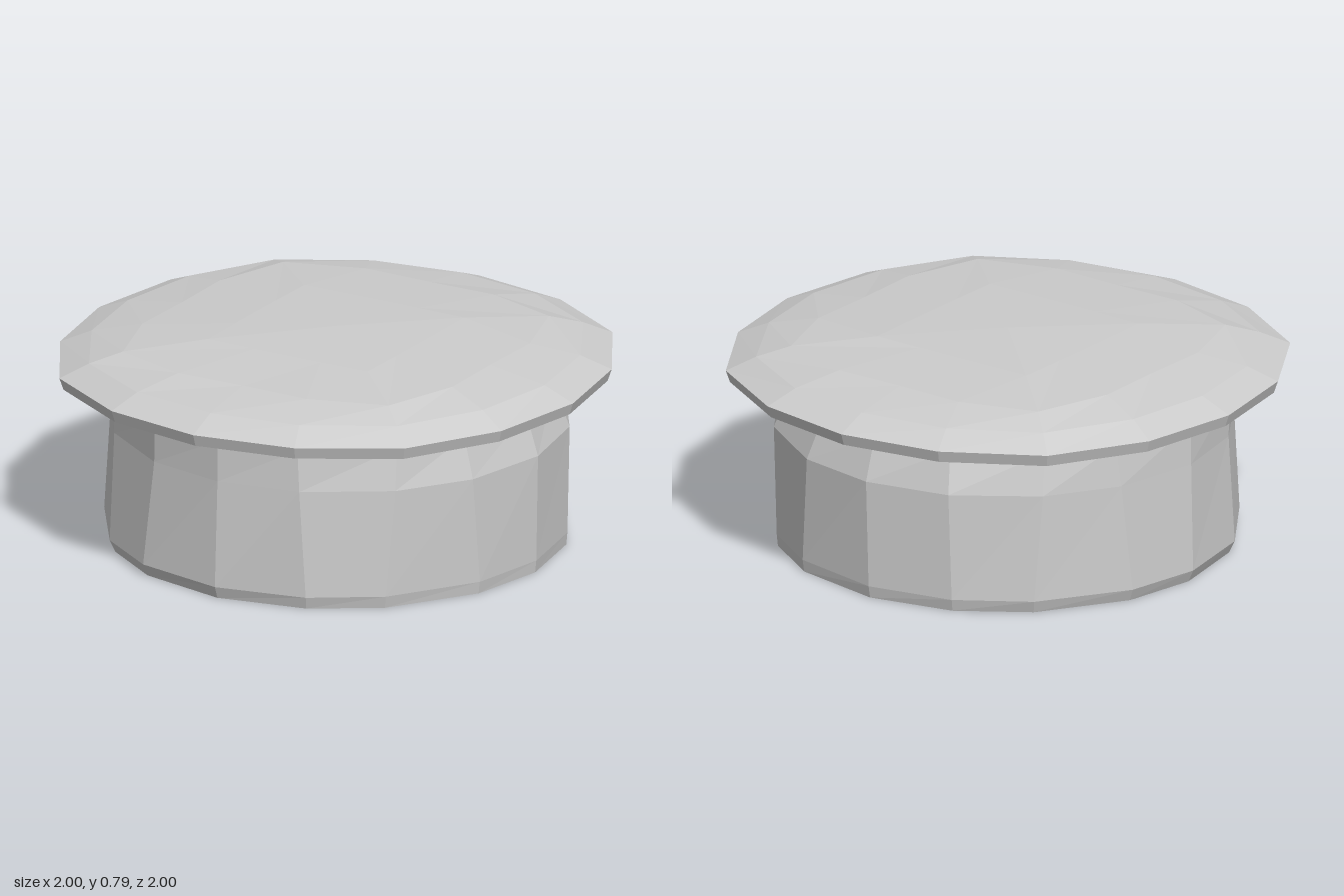
import * as THREE from 'three';

const SIDES = 16;

// Lofts a faceted skin through closed rings listed from bottom to top.
// point(ring, angle, j) returns [x, y, z] on that ring.
function loft(name, rings, point) {
  const positions = [];
  const index = [];
  rings.forEach((ring) => {
    for (let j = 0; j < SIDES; j++) positions.push(...point(ring, (j / SIDES) * Math.PI * 2, j));
  });
  for (let i = 0; i < rings.length - 1; i++) {
    for (let j = 0; j < SIDES; j++) {
      const k = (j + 1) % SIDES;
      const a = i * SIDES + j, b = i * SIDES + k;
      const c = b + SIDES, d = a + SIDES;
      if (rings[i].r !== 0) index.push(a, b, c);
      if (rings[i + 1].r !== 0) index.push(a, c, d);
      else if (rings[i].r !== 0) continue;
    }
  }
  const geometry = new THREE.BufferGeometry();
  geometry.setAttribute('position', new THREE.Float32BufferAttribute(positions, 3));
  geometry.setIndex(index);
  geometry.computeVertexNormals();
  const mesh = new THREE.Mesh(
    geometry,
    new THREE.MeshStandardMaterial({ color: 0xcccccc, flatShading: true })
  );
  mesh.name = name;
  return mesh;
}

// Domed cap: r is the radius on the axes, mid and corner scale it at 22.5 and 45 degrees
function createCap() {
  const rings = [
    { y: 0.6, r: 0, mid: 1, corner: 1 },
    { y: 0.6, r: 0.8, mid: 1.01, corner: 1.03 },
    { y: 0.635, r: 0.985, mid: 1.008, corner: 1.03 },
    { y: 0.68, r: 1, mid: 1.008, corner: 1.03 },
    { y: 0.728, r: 0.88, mid: 1.015, corner: 1.045 },
    { y: 0.763, r: 0.65, mid: 1.09, corner: 1.22 },
    { y: 0.784, r: 0.34, mid: 1.08, corner: 1.4 },
    { y: 0.793, r: 0, mid: 1, corner: 1 },
  ];
  return loft('cap', rings, ({ y, r, mid, corner }, angle, j) => {
    const radius = r * [1, mid, corner, mid][j % 4];
    return [radius * Math.sin(angle), y, radius * Math.cos(angle)];
  });
}

// Rough-cut base: each ring leans a little and its corners are unevenly spaced
function createBase() {
  const rings = [
    { y: 0.004, r: 0, side: 0, front: 0, twist: 0 },
    { y: 0.004, r: 0.835, side: 0.008, front: -0.004, twist: 0.03 },
    { y: 0.05, r: 0.848, side: 0, front: 0, twist: 0.03 },
    { y: 0.45, r: 0.838, side: 0.013, front: -0.008, twist: -0.015 },
    { y: 0.605, r: 0.81, side: -0.01, front: 0.02, twist: -0.03 },
    { y: 0.605, r: 0, side: 0, front: 0, twist: 0 },
  ];
  return loft('base', rings, ({ y, r, side, front, twist }, angle, j) => {
    const a = angle + twist * Math.sin(j * 2.4);
    const radius = r + side * Math.sin(angle) + front * Math.cos(angle);
    return [radius * Math.sin(a), y, radius * Math.cos(a)];
  });
}

export function createModel() {
  const model = new THREE.Group();
  model.name = 'roundCappedPlug';
  model.add(createBase(), createCap());
  return model;
}
